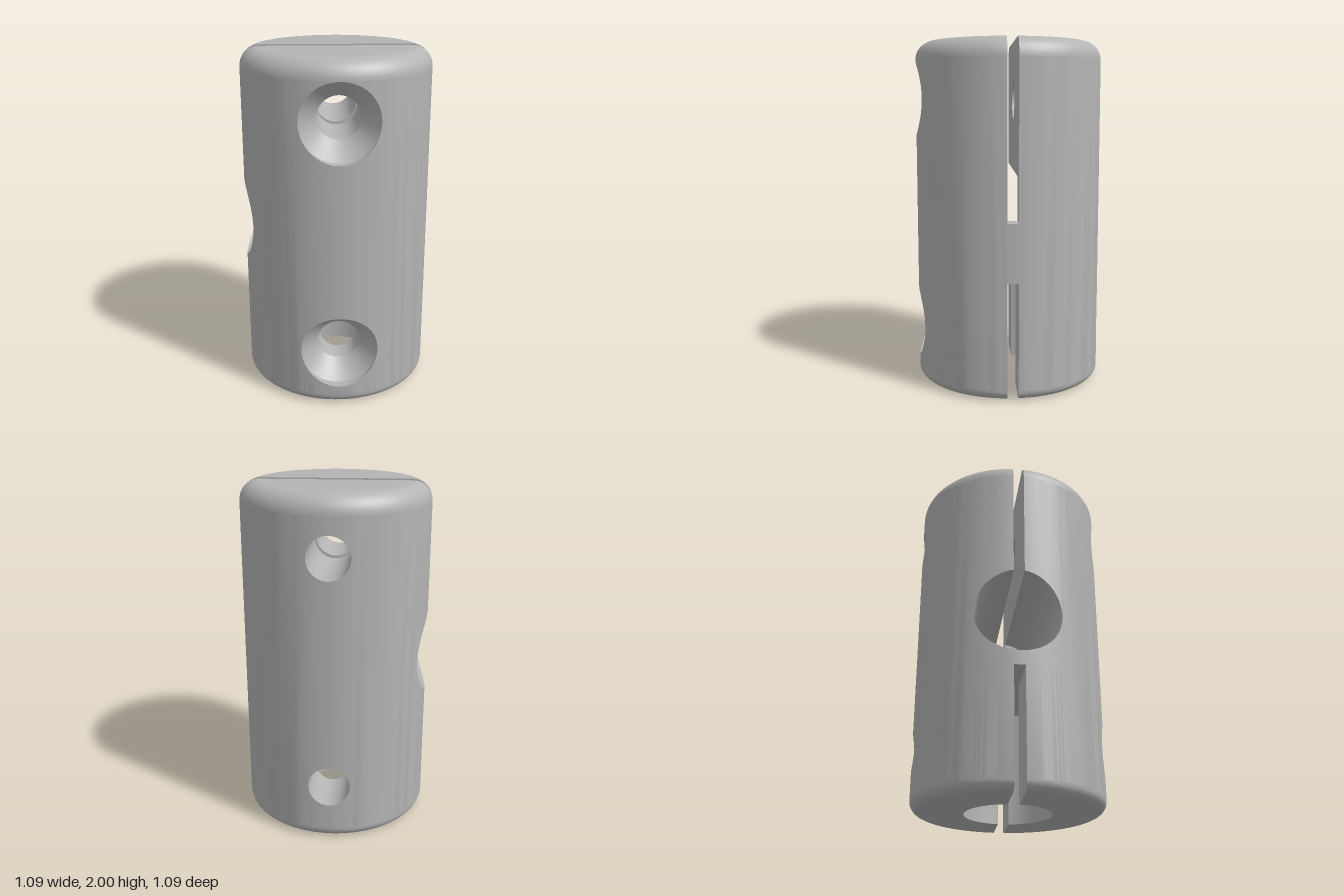
import * as THREE from 'three';
import { mergeGeometries, toCreasedNormals } from 'three/addons/utils/BufferGeometryUtils.js';

const { sin, cos, asin, sqrt, PI } = Math;

// Local frame: slot runs along x, clamp screws run along z, cross bore opens at -x
const R = 0.545, H = 2, SLOT = 0.031;        // body radius, height, half slot width
const TOP_R = 0.11, BOT_R = 0.06;            // edge roundings
const BORE = 0.247, CROSS_Y = 1, CROSS_END = 0.43;
const SLOT_LOW = 0.67, SLOT_HIGH = 1;        // solid web between the two slots
const SCREW = 0.12, HEAD = 0.22, SCREW_Y = [0.335, 1.67];
const half = (r, d) => sqrt(Math.max(0, r * r - d * d)); // half chord
const lerp = THREE.MathUtils.lerp;

// Grid surface from a rule f(s, t) -> [x, y, z]
function patch(f, n, m, flip) {
  const pos = [], idx = [];
  for (let j = 0; j <= m; j++) for (let i = 0; i <= n; i++) pos.push(...f(i / n, j / m));
  for (let j = 0; j < m; j++) for (let i = 0; i < n; i++) {
    const a = j * (n + 1) + i, b = a + 1, c = a + n + 1, d = c + 1;
    idx.push(...(flip ? [a, d, b, a, c, d] : [a, b, d, a, d, c]));
  }
  const g = new THREE.BufferGeometry();
  g.setAttribute('position', new THREE.Float32BufferAttribute(pos, 3));
  g.setIndex(idx);
  return g;
}

// Half cylinder wall between two angles, made of bands with curved lower and upper limits
function wall(r, sg, a0, a1, bands, n, ease, flip) {
  return bands.map(([lo, hi]) => patch((s, t) => {
    const a = lerp(a0, a1, ease(s)), x = r * cos(a), z = r * sin(a);
    return [x, lerp(lo(x, z), hi(x, z), t), sg * z];
  }, n, 1, flip));
}
const linear = s => s, bothEnds = s => (1 - cos(PI * s)) / 2, startOnly = s => s * s;
const at = y => () => y;
const edge = (y, r, k) => x => y + k * half(r, x);

// Half revolve whose ends stay on the slot face
function slottedRevolve(profile, sg) {
  return patch((s, t) => {
    const [r, y] = profile(t), a0 = asin(SLOT / r), a = lerp(a0, PI - a0, s);
    return [r * cos(a), y, sg * r * sin(a)];
  }, 64, 10, sg > 0);
}

function outerSurface(sg) {
  const f = sg > 0, y0 = BOT_R, y1 = H - TOP_R, rs = f ? HEAD : SCREW;
  const a0 = asin(SLOT / R), as = asin(rs / R), ab = asin(BORE / R);
  const full = [[at(y0), at(y1)]];
  const screwBands = [
    [at(y0), edge(SCREW_Y[0], rs, -1)],
    [edge(SCREW_Y[0], rs, 1), edge(SCREW_Y[1], rs, -1)],
    [edge(SCREW_Y[1], rs, 1), at(y1)],
  ];
  const boreBands = [
    [at(y0), (x, z) => CROSS_Y - half(BORE, z)],
    [(x, z) => CROSS_Y + half(BORE, z), at(y1)],
  ];
  const rt = R - TOP_R, rb = R - BOT_R, at0 = asin(SLOT / rt);
  return [
    ...wall(R, sg, a0, PI / 2 - as, full, 16, linear, f),
    ...wall(R, sg, PI / 2 - as, PI / 2 + as, screwBands, 24, bothEnds, f),
    ...wall(R, sg, PI / 2 + as, PI - ab, full, 12, linear, f),
    ...wall(R, sg, PI - ab, PI - a0, boreBands, 16, startOnly, f),
    // rounded edges
    slottedRevolve(t => [rt + TOP_R * cos(t * PI / 2), y1 + TOP_R * sin(t * PI / 2)], sg),
    slottedRevolve(t => [rb + BOT_R * sin(t * PI / 2), y0 - BOT_R * cos(t * PI / 2)], sg),
    // bottom ring and top half disc
    slottedRevolve(t => [lerp(BORE, rb, t), 0], sg),
    patch((s, t) => {
      const a = lerp(at0, PI - at0, s);
      return [rt * cos(a), H, sg * lerp(rt * sin(a), SLOT, t)];
    }, 64, 1, f),
  ];
}

// Solid web closing the wall between the slots
function web() {
  const a = asin(SLOT / R);
  return [0, PI].map(mid => patch((s, t) => {
    const b = mid + lerp(-a, a, s), z = R * sin(b);
    const top = mid ? CROSS_Y - half(BORE, z) : SLOT_HIGH;
    return [R * cos(b), lerp(SLOT_LOW, top, t), z];
  }, 4, 1, true));
}

// Flat faces on one side of both slots
function slotFaces(sg) {
  const xo = half(R, SLOT), xb = half(BORE, SLOT), yc = CROSS_Y + xb;
  const upper = new THREE.Shape().moveTo(CROSS_END, SLOT_HIGH).lineTo(xo, SLOT_HIGH);
  const arc = (c, rad, y, k, i) => [half(c + rad * cos(i * PI / 16), SLOT), y + k * rad * sin(i * PI / 16)];
  for (let i = 0; i <= 8; i++) upper.lineTo(...arc(R - TOP_R, TOP_R, H - TOP_R, 1, i));
  for (let i = 8; i >= 0; i--) {
    const [x, y] = arc(R - TOP_R, TOP_R, H - TOP_R, 1, i);
    upper.lineTo(-x, y);
  }
  upper.lineTo(-xo, yc).lineTo(CROSS_END, yc);
  upper.holes.push(new THREE.Path().absarc(0, SCREW_Y[1], SCREW, 0, 2 * PI, true));
  const lower = [1, -1].map(k => {
    const s = new THREE.Shape().moveTo(k * xb, SLOT_LOW).lineTo(k * xb, 0);
    for (let i = 8; i >= 0; i--) {
      const [x, y] = arc(R - BOT_R, BOT_R, BOT_R, -1, i);
      s.lineTo(k * x, y);
    }
    return s.lineTo(k * xo, SLOT_LOW);
  });
  const g = new THREE.ShapeGeometry([upper, ...lower], 16).translate(0, 0, sg * SLOT);
  if (sg > 0) g.index.array.reverse();
  return g;
}

// Slot floor or ceiling strip running from an inner limit to the outer wall
const slotEnd = (y, inner, k, flip) => patch((s, t) => {
  const z = lerp(-SLOT, SLOT, s);
  return [k * lerp(inner(z), half(R, z), t), y, z];
}, 4, 1, flip);

function centreBore(sg) {
  const a0 = asin(SLOT / BORE), as = asin(SCREW / BORE), f = sg < 0;
  const full = [[at(0), at(SLOT_LOW)]];
  const bands = [[at(0), edge(SCREW_Y[0], SCREW, -1)], [edge(SCREW_Y[0], SCREW, 1), at(SLOT_LOW)]];
  return [
    ...wall(BORE, sg, a0, PI / 2 - as, full, 10, linear, f),
    ...wall(BORE, sg, PI / 2 - as, PI / 2 + as, bands, 20, bothEnds, f),
    ...wall(BORE, sg, PI / 2 + as, PI - a0, full, 10, linear, f),
  ];
}

const crossBore = sg => patch((s, t) => {
  const p = lerp(asin(SLOT / BORE), PI, s), z = BORE * sin(p);
  return [lerp(-half(R, z), CROSS_END, t), CROSS_Y + BORE * cos(p), sg * z];
}, 28, 1, sg > 0);

// Blind end of the cross bore, notched by the slot
function crossBoreEnd() {
  const p = asin(SLOT / BORE);
  const s = new THREE.Shape().absarc(0, 0, BORE, PI / 2 + p, 2.5 * PI - p, false);
  s.lineTo(SLOT, 0).lineTo(-SLOT, 0);
  return new THREE.ShapeGeometry(s, 48).rotateY(-PI / 2).translate(CROSS_END, CROSS_Y, 0);
}

// Screw holes: plain on one side, countersunk on the other
function screwHole(y, sg, start) {
  const section = (r0, r1, z0, z1) => patch((s, t) => {
    const r = lerp(r0, r1, t), x = r * cos(s * 2 * PI);
    return [x, y + r * sin(s * 2 * PI), sg * lerp(z0(x), z1(x), t)];
  }, 40, 1, sg > 0);
  const surface = x => half(R, x);
  if (sg < 0) return [section(SCREW, SCREW, start, surface)];
  return [
    section(SCREW, SCREW, start, at(0.38)),
    section(SCREW, HEAD, at(0.38), at(0.495)),
    section(HEAD, HEAD, at(0.495), surface),
  ];
}

export function createModel() {
  const metal = new THREE.MeshStandardMaterial({ color: 0xb4b4b4, side: THREE.DoubleSide });
  metal.name = 'grey metal';
  const model = new THREE.Group();
  model.name = 'slottedClampConnector';
  const add = (name, parts) => {
    parts.forEach(g => { g.deleteAttribute('normal'); g.deleteAttribute('uv'); });
    const mesh = new THREE.Mesh(toCreasedNormals(mergeGeometries(parts), 0.5), metal);
    mesh.name = name;
    model.add(mesh);
  };
  const both = f => [1, -1].flatMap(f);
  const boreSide = z => half(BORE, z);

  add('outerBody', [...both(outerSurface), ...web()]);
  add('slots', [
    ...both(slotFaces),
    slotEnd(SLOT_HIGH, at(CROSS_END), 1, false),
    slotEnd(SLOT_LOW, boreSide, 1, true),
    slotEnd(SLOT_LOW, boreSide, -1, false),
  ]);
  add('centreBore', [
    ...both(centreBore),
    new THREE.CircleGeometry(BORE, 48).rotateX(PI / 2).translate(0, SLOT_LOW, 0),
  ]);
  add('crossBore', [...both(crossBore), crossBoreEnd()]);
  add('screwHoles', both(sg => [
    ...screwHole(SCREW_Y[0], sg, boreSide),
    ...screwHole(SCREW_Y[1], sg, at(SLOT)),
  ]));

  model.rotation.y = -48.4 * PI / 180;
  return model;
}
